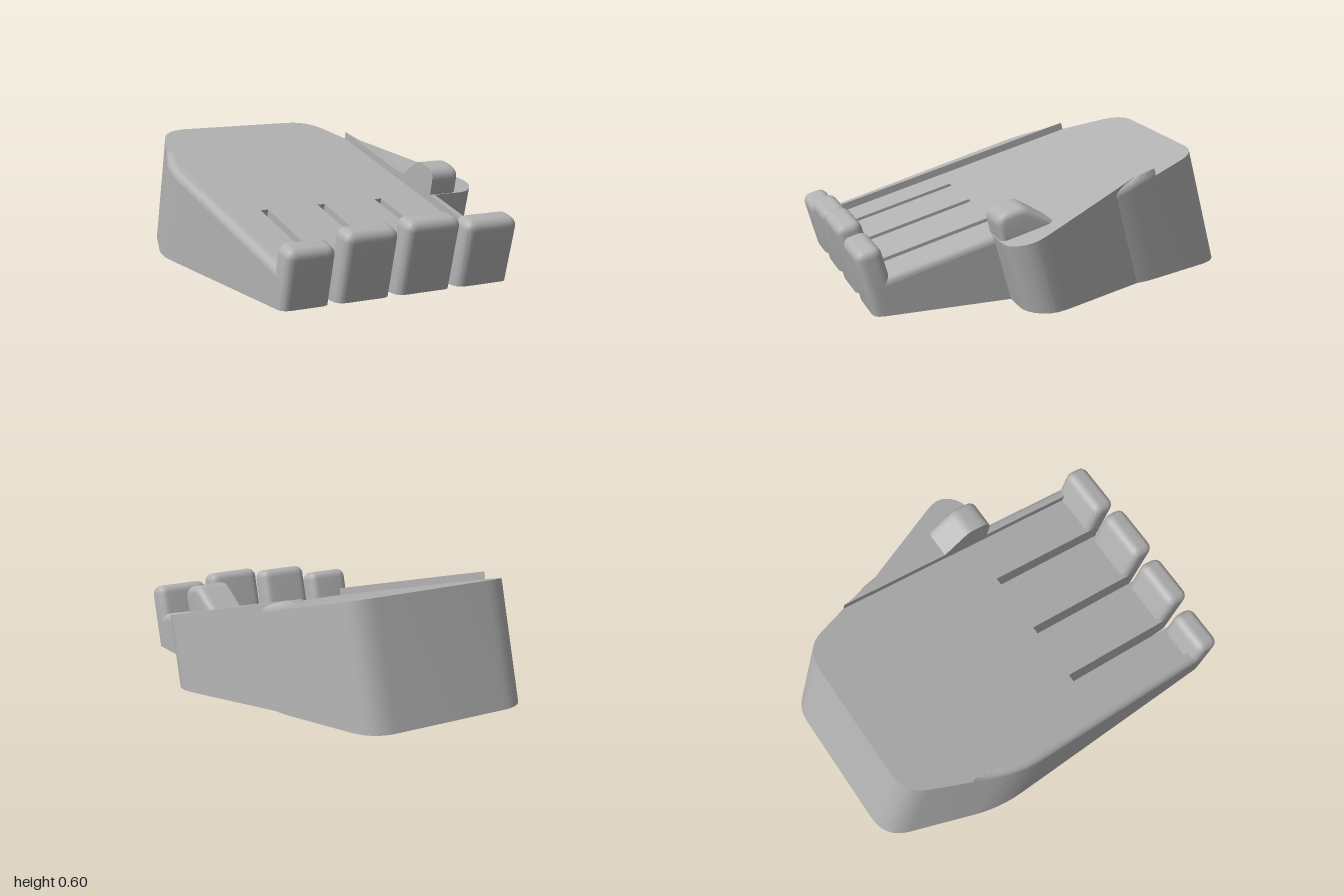
import * as THREE from 'three';
import { toCreasedNormals } from 'three/addons/utils/BufferGeometryUtils.js';

const TILT = Math.PI / 12, C = Math.cos(TILT), S = Math.sin(TILT), K = Math.tan(TILT);
const RIM = 0.039;              // height of the rim above the palm
const LEFT = -0.665, RIGHT = 0.445; // inner walls of the rim

// distance from the ground to the palm plane, along the tilted direction
const palm = z => (0.38 - K * z) * C;

// closed plan outline from [x, z, corner radius] points
function outline(points) {
  const shape = new THREE.Shape(), n = points.length;
  const v = points.map(p => new THREE.Vector2(p[0], -p[1]));
  v.forEach((p, i) => {
    const r = points[i][2] || 0;
    const toward = q => q.clone().sub(p).setLength(r).add(p);
    const a = toward(v[(i + n - 1) % n]), b = toward(v[(i + 1) % n]);
    if (i === 0) shape.moveTo(a.x, a.y); else shape.lineTo(a.x, a.y);
    if (r) shape.quadraticCurveTo(p.x, p.y, b.x, b.y);
  });
  shape.closePath();
  return shape;
}

// leaning slab from the ground to `rise` above the palm plane, top edge rounded by r
function slab(shape, rise, r = 0) {
  const geo = new THREE.ExtrudeGeometry(shape, {
    depth: 1, curveSegments: 8, bevelEnabled: r > 0, bevelSegments: 6,
    bevelSize: r, bevelThickness: r, bevelOffset: -r,
  });
  geo.rotateX(-Math.PI / 2);
  const p = geo.attributes.position;
  for (let i = 0; i < p.count; i++) {
    const h = p.getY(i), z = p.getZ(i);
    const t = h < 0.5 ? 0 : palm(z) + rise - r + (h - 1);
    p.setXYZ(i, p.getX(i), t * C, z + t * S);
  }
  return toCreasedNormals(geo, 0.6);
}

// raised strip between a straight inner wall and the curved outer edge
function rimStrip(inner, stations) {
  const side = Math.sign(inner), pos = [], idx = [], N = 9;
  for (const [xo, z] of stations) {
    const r = Math.min(RIM, Math.abs(xo - inner));
    const section = [[inner, 0], [inner, RIM]];
    for (let j = 0; j <= 6; j++) {
      const a = j / 6 * Math.PI / 2;
      section.push([xo - side * r * (1 - Math.sin(a)), RIM * Math.cos(a)]);
    }
    for (const [x, d] of section) {
      const t = palm(z) + d;
      pos.push(x, t * C, z + t * S);
    }
  }
  for (let i = 0; i < stations.length - 1; i++) {
    for (let j = 0; j < N - 1; j++) {
      const a = i * N + j, b = a + 1, c = a + N, d = c + 1;
      if (side > 0) idx.push(a, c, b, b, c, d);
      else idx.push(a, b, c, b, d, c);
    }
  }
  const geo = new THREE.BufferGeometry();
  geo.setAttribute('position', new THREE.Float32BufferAttribute(pos, 3));
  geo.setIndex(idx);
  return toCreasedNormals(geo, 0.6);
}

export function createModel() {
  const group = new THREE.Group();
  const grey = new THREE.MeshStandardMaterial({ color: 0xb2b2b2 });
  grey.name = 'grey';
  const add = (name, geo) => {
    const mesh = new THREE.Mesh(geo, grey);
    mesh.name = name;
    group.add(mesh);
    return mesh;
  };

  // x range and tip height of each finger
  const fingers = [
    [-0.725, -0.48, 0.158], [-0.44, -0.163, 0.209],
    [-0.123, 0.17, 0.23], [0.21, 0.50, 0.199],
  ];

  // palm wedge with the slots between the fingers
  const plan = [
    [-0.752, -0.42, 0.14], [-0.545, -1, 0.13], [0.345, -1, 0.13],
    [0.53, -0.45, 0.1], [0.50, 0.1, 0.1],
  ];
  for (let i = 3; i >= 0; i--) {
    const [x0, x1] = fingers[i];
    if (i < 3) plan.push([x1, 0.137]);
    plan.push([x1, 0.86], [x0, 0.86]);
    if (i > 0) plan.push([x0, 0.137]);
  }
  const palmShape = outline(plan);
  add('palm', slab(palmShape, 0));

  // side rims follow the palm outline
  const edge = palmShape.getPoints(8).map(p => [p.x, -p.y]);
  const rimPath = (start, keep) =>
    [start, ...edge.filter(keep).sort((a, b) => a[1] - b[1])];
  add('rightRim', rimStrip(LEFT, rimPath([LEFT, -0.664], p => p[0] < LEFT)));
  add('leftRim', rimStrip(RIGHT, rimPath([RIGHT, -0.703], p => p[0] > RIGHT && (p[1] < 0.8 || p[0] > 0.49))));

  // upturned fingertips
  fingers.forEach(([x0, x1, rise], i) => {
    const c = 0.05;
    const tip = outline([[x0, 0.786, c], [x0, 0.921, c], [x1, 0.921, c], [x1, 0.786, c]]);
    add('fingertip' + (i + 1), slab(tip, rise, 0.045));
  });

  // thumb base
  add('thumb', slab(outline([
    [RIGHT, -0.61], [0.735, 0.05, 0.05], [0.752, 0.12, 0.04],
    [0.705, 0.236, 0.09], [RIGHT, 0.236],
  ]), RIM));

  // thumb hook: square on the inner side, rounded on the outer side
  const hook = new THREE.Shape();
  hook.moveTo(-0.045, 0.40);
  hook.lineTo(-0.17, 0.475);
  hook.quadraticCurveTo(-0.205, 0.499, -0.24, 0.49);
  hook.lineTo(-0.285, 0.479);
  hook.quadraticCurveTo(-0.35, 0.462, -0.338, 0.405);
  hook.lineTo(-0.312, 0.30);
  hook.lineTo(-0.045, 0.30);
  hook.closePath();
  const hookPart = (name, x, depth, r) => {
    const geo = new THREE.ExtrudeGeometry(hook, {
      depth, curveSegments: 8, bevelEnabled: r > 0, bevelSegments: 5,
      bevelSize: r, bevelThickness: r, bevelOffset: -r,
    });
    geo.rotateY(Math.PI / 2).translate(x, 0, 0);
    add(name, toCreasedNormals(geo, 0.6));
  };
  hookPart('thumbHookInner', RIGHT, 0.12, 0);
  hookPart('thumbHookOuter', 0.52, 0.055, 0.035);

  return group;
}
